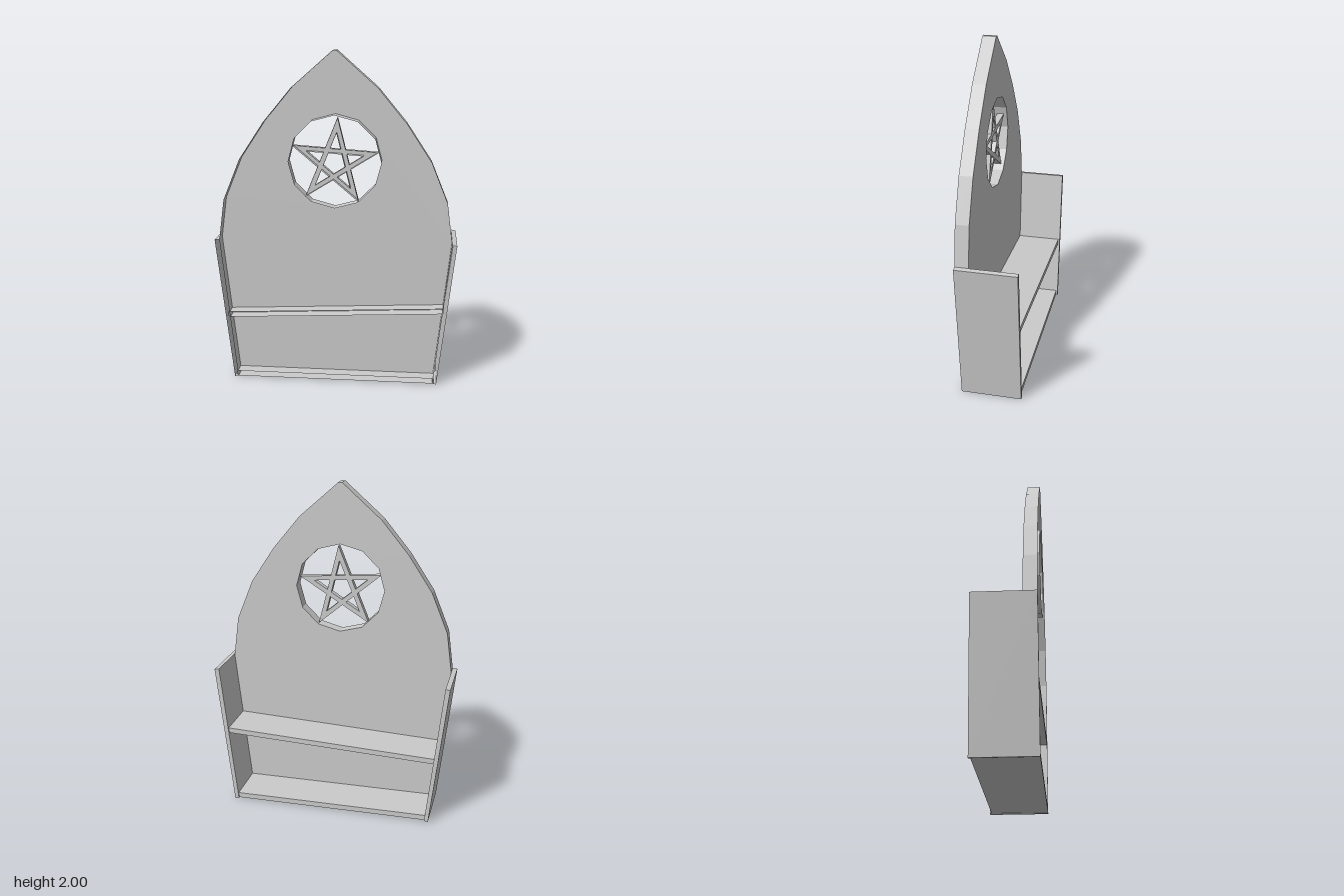
import * as THREE from 'three';

const material = new THREE.MeshStandardMaterial({ color: 0xcccccc, flatShading: true, side: THREE.DoubleSide });

const toVectors = pts => pts.map(([x, y]) => new THREE.Vector2(x, y));

// Hollow prism from z0 to z1: back sheet and edge walls, open at the front
function openPrism(name, outline, holes, z0, z1) {
  const shape = new THREE.Shape(toVectors(outline));
  holes.forEach(h => shape.holes.push(new THREE.Path(toVectors(h))));
  const full = new THREE.ExtrudeGeometry(shape, { depth: z1 - z0, bevelEnabled: false });
  const [caps, walls] = full.groups;
  const p = full.getAttribute('position').array;
  const kept = [...p.slice(0, caps.count / 2 * 3), ...p.slice(walls.start * 3)];
  const geometry = new THREE.BufferGeometry();
  geometry.setAttribute('position', new THREE.Float32BufferAttribute(kept, 3));
  geometry.computeVertexNormals();
  const mesh = new THREE.Mesh(geometry.translate(0, 0, z0), material);
  mesh.name = name;
  return mesh;
}

// Pointed arch with a twelve-sided window
function backPanel() {
  const half = [[0.601, 0.005], [0.693, 0.88], [0.66, 1.125], [0.56, 1.37], [0.415, 1.59], [0.25, 1.79], [0.012, 2]];
  const mirrored = half.map(([x, y]) => [-x, y]).reverse();
  const ring = [];
  for (let i = 0; i < 12; i++) {
    const a = i * Math.PI / 6;
    ring.push([0.273 * Math.sin(a), 1.362 + 0.273 * Math.cos(a)]);
  }
  return openPrism('backPanel', [...half, ...mirrored], [ring], 0.10, 0.18);
}

// Five-pointed star of interlocking bars, cut from its five chord lines
function windowStar() {
  const cx = -0.003, cy = 1.354, R = 0.267, bar = 0.028;
  const d = R * Math.cos(Math.PI * 0.4), inner = d - bar;
  const angle = j => (86 + 72 * j) * Math.PI / 180;
  // Crossing of chord i (at distance di from the centre) and chord j
  const meet = (i, di, j, dj) => {
    const a = angle(i), b = angle(j), det = Math.sin(b - a);
    return [cx + (di * Math.sin(b) - dj * Math.sin(a)) / det,
      cy + (dj * Math.cos(a) - di * Math.cos(b)) / det];
  };
  const outline = [], centre = [], tips = [];
  for (let j = 0; j < 5; j++) {
    outline.push([cx + R * Math.cos(angle(j)), cy + R * Math.sin(angle(j))], meet(j, d, j + 1, d));
    centre.push(meet(j, inner, j + 1, inner));
    tips.push([meet(j + 1, inner, j - 1, inner), meet(j + 1, inner, j, d), meet(j - 1, inner, j, d)]);
  }
  return openPrism('windowStar', outline, [centre, ...tips], 0.12, 0.16);
}

export function createModel() {
  const model = new THREE.Group();
  model.name = 'archedShelf';
  model.add(backPanel(), windowStar());

  // Side boards, leaning outwards
  for (const [name, s] of [['leftSide', 1], ['rightSide', -1]]) {
    const pts = [[0.598, 0.002], [0.622, 0], [0.722, 0.877], [0.694, 0.882]].map(([x, y]) => [s * x, y]);
    model.add(openPrism(name, pts, [], -0.182, 0.18));
  }

  // Shelves; the middle one rises slightly to the left
  model.add(openPrism('bottomShelf', [[-0.605, 0.004], [0.605, 0.004], [0.607, 0.036], [-0.607, 0.036]], [], -0.172, 0.179));
  model.add(openPrism('middleShelf', [[-0.65, 0.39], [0.653, 0.455], [0.656, 0.487], [-0.653, 0.422]], [], -0.172, 0.179));
  return model;
}
